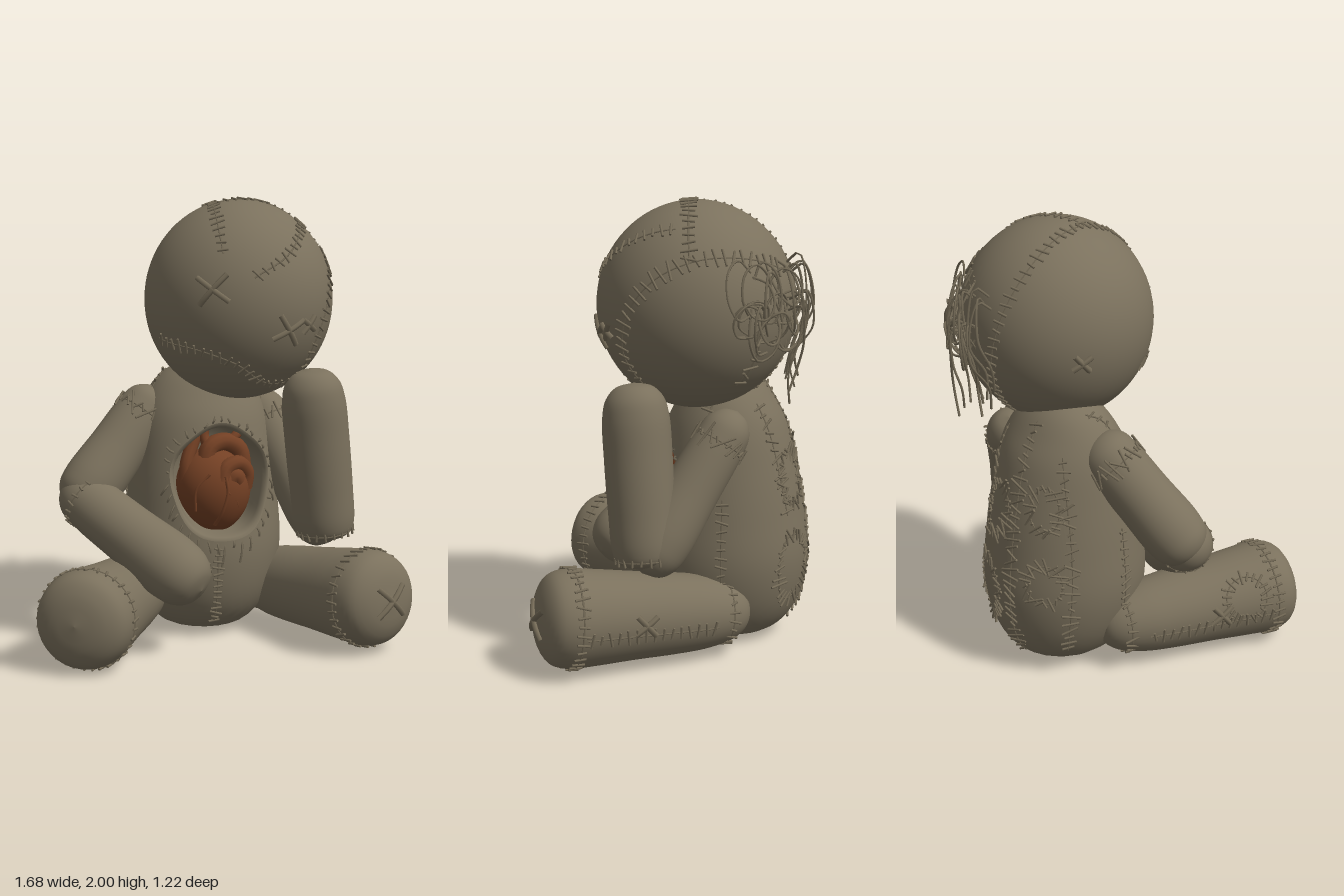
import * as THREE from 'three';
import { mergeGeometries } from 'three/addons/utils/BufferGeometryUtils.js';

const V = (x, y, z) => new THREE.Vector3(x, y, z);
const mat = (name, color) => {
  const m = new THREE.MeshStandardMaterial({ color });
  m.name = name;
  return m;
};

export function createModel() {
  const root = new THREE.Group();
  root.name = 'ragDoll';
  const cloth = mat('cloth', 0x7b715d);
  const thread = mat('thread', 0x766c58);
  const flesh = mat('heartBrown', 0x734024);

  let seed = 7;
  const rnd = () => (seed = (seed * 16807) % 2147483647) / 2147483647;
  const jit = (s) => (rnd() - 0.5) * 2 * s;
  const add = (name, geo, m) => {
    const mesh = new THREE.Mesh(geo, m);
    mesh.name = name;
    root.add(mesh);
  };
  const tube = (pts, r, n = 14, sides = 5) =>
    new THREE.TubeGeometry(new THREE.CatmullRomCurve3(pts), n, r, sides);
  // Smooth lookup through control rows [key, a, b]
  const table = (rows) => {
    const s = new THREE.CatmullRomCurve3(rows.map((r) => V(r[0], r[1], r[2] ?? 0)), false, 'centripetal').getPoints(120);
    return (k) => {
      let i = 1;
      while (i < s.length - 1 && s[i].x < k) i++;
      const f = THREE.MathUtils.clamp((k - s[i - 1].x) / (s[i].x - s[i - 1].x || 1), 0, 1);
      return s[i - 1].clone().lerp(s[i], f);
    };
  };
  // Surface from rings of points, closed around each ring
  const skin = (rings) => {
    const n = rings[0].length, idx = [];
    for (let i = 0; i < rings.length - 1; i++)
      for (let j = 0; j < n; j++) {
        const a = i * n + j, b = i * n + ((j + 1) % n);
        idx.push(a, a + n, b, b, a + n, b + n);
      }
    const g = new THREE.BufferGeometry().setFromPoints(rings.flat());
    g.setIndex(idx);
    g.computeVertexNormals();
    return g;
  };

  // Thread line with short bars across it; pn is a list of [point, normal]
  const bar = (p, dir, len, r) => {
    const g = new THREE.CylinderGeometry(r, r, len, 6);
    g.applyQuaternion(new THREE.Quaternion().setFromUnitVectors(V(0, 1, 0), dir.clone().normalize()));
    return g.translate(p.x, p.y, p.z);
  };
  const seam = (name, pn, { len = 0.055, gap = 0.04, r = 0.0055, wild = 0.3 } = {}) => {
    const c = new THREE.CatmullRomCurve3(pn.map((q) => q[0]));
    const nc = new THREE.CatmullRomCurve3(pn.map((q) => q[1]));
    const parts = [new THREE.TubeGeometry(c, pn.length * 2, 0.004, 4)];
    const count = Math.max(2, Math.round(c.getLength() / gap));
    for (let i = 0; i < count; i++) {
      const t = c.getUtoTmapping((i + 0.5) / count);
      const n = nc.getPoint(t).normalize();
      const d = n.clone().cross(c.getTangent(t)).applyAxisAngle(n, jit(wild));
      parts.push(bar(c.getPoint(t).addScaledVector(n, 0.003), d, len * (1 + jit(wild)), r));
    }
    add(name, mergeGeometries(parts), thread);
  };
  const trace = (surf, pts) =>
    new THREE.CatmullRomCurve3(pts).getPoints(24).map((p) => surf.project(p));
  const crossMark = (name, [p, n], size, turn = 0) => {
    const u = V(0, 1, 0).cross(n).normalize(), c = p.clone().addScaledVector(n, 0.004);
    // Each stroke bends down into the cloth at its ends
    add(name, mergeGeometries([0.6, 2.3].map((a) => {
      const d = u.clone().applyAxisAngle(n, a + turn);
      return tube([-1, -0.5, 0, 0.5, 1].map((k) => c.clone().addScaledVector(d, k * size).addScaledVector(n, -1.6 * (k * size) ** 2)), 0.013, 8, 6);
    })), thread);
  };

  // Torso with an open chest
  const CZ = -0.21;
  const girth = table([[0.005, 0.12, 0.14], [0.03, 0.2, 0.22], [0.09, 0.265, 0.29], [0.2, 0.325, 0.345], [0.38, 0.365, 0.372],
    [0.6, 0.355, 0.35], [0.8, 0.332, 0.315], [1.0, 0.298, 0.262], [1.1, 0.258, 0.21], [1.18, 0.195, 0.16], [1.24, 0.1, 0.1]]);
  const torso = {
    project(p) {
      const g = girth(p.y), dx = p.x / g.y, dz = (p.z - CZ) / g.z, k = 1 / Math.hypot(dx, dz);
      return [V(p.x * k, p.y, CZ + (p.z - CZ) * k), V(dx, 0, dz).normalize()];
    },
  };
  const inside = (p) => {
    if (p.y < 0.005 || p.y > 1.24) return false;
    const g = girth(p.y);
    return (p.x / g.y) ** 2 + ((p.z - CZ) / g.z) ** 2 < 1;
  };
  const C = V(0.035, 0.715, CZ), N = 72;
  const rim = Array.from({ length: N }, (_, j) => {
    const a = (j / N) * Math.PI * 2, w = 1 + 0.025 * Math.sin(a * 5);
    const x = C.x + 0.235 * w * Math.cos(a), y = C.y + 0.262 * w * Math.sin(a), g = girth(y);
    return V(x, y, CZ + g.z * Math.sqrt(1 - (x / g.y) ** 2));
  });
  const shell = Array.from({ length: 57 }, (_, i) => rim.map((q) => {
    const d = q.clone().sub(C).normalize(), t0 = Math.acos(d.z), phi = Math.atan2(d.y, d.x);
    const t = THREE.MathUtils.lerp(t0, Math.PI, i / 56);
    const dir = V(Math.sin(t) * Math.cos(phi), Math.sin(t) * Math.sin(phi), Math.cos(t));
    let lo = 0, hi = 1.2;
    for (let k = 0; k < 22; k++) {
      const mid = (lo + hi) / 2;
      if (inside(C.clone().addScaledVector(dir, mid))) lo = mid; else hi = mid;
    }
    return C.clone().addScaledVector(dir, lo);
  }));
  add('torso', skin(shell), cloth);
  add('chestCavity', skin([[0.001, 1], [0.6, 1], [0.83, 0.85], [0.88, 0.4], [0.9, 0.12], [0.94, 0.01], [1, 0]].map(([s, b]) =>
    rim.map((q) => V(C.x + (q.x - C.x) * s, C.y + (q.y - C.y) * s, THREE.MathUtils.lerp(q.z, -0.26, b))))), cloth);

  // Head
  const hc = V(0.145, 1.53, -0.085), hr = V(0.428, 0.452, 0.435);
  const head = {
    project(p) {
      const d = p.clone().sub(hc).divide(hr).normalize();
      return [d.clone().multiply(hr).add(hc), d.clone().divide(hr).normalize()];
    },
  };
  // Fills in the one missing coordinate so the point lies on the head
  const onHead = (...q) => {
    const k = q.indexOf(null), c = hc.toArray(), r = hr.toArray();
    const s = q.reduce((t, v, i) => (i === k ? t : t - ((v - c[i]) / r[i]) ** 2), 1);
    q[k] = c[k] + r[k] * Math.sqrt(Math.max(0, s));
    return V(...q);
  };
  add('head', new THREE.SphereGeometry(1, 56, 40).scale(...hr.toArray()).translate(...hc.toArray()), cloth);

  // Heart and its vessels
  const hg = new THREE.SphereGeometry(1, 36, 28), hp = hg.attributes.position;
  for (let i = 0; i < hp.count; i++) {
    const y = hp.getY(i), k = 1 + 0.1 * y - 0.06 * y * y;
    hp.setXYZ(i, hp.getX(i) * 0.17 * k + 0.012 - 0.015 * y, 0.67 + y * 0.195, hp.getZ(i) * 0.135 * k);
  }
  hg.computeVertexNormals();
  add('heart', hg, flesh);
  [['aorta', 0.042, [[-0.04, 0.78, 0.04], [-0.01, 0.87, 0.03], [0.06, 0.89, 0.01], [0.13, 0.85, 0], [0.15, 0.74, 0]]],
    ['pulmonaryArtery', 0.036, [[0.03, 0.72, 0.1], [0.05, 0.78, 0.09], [0.11, 0.8, 0.07], [0.155, 0.75, 0.04], [0.15, 0.68, 0.03]]],
    ['veinCava', 0.03, [[-0.125, 0.7, 0.03], [-0.12, 0.8, 0.03], [-0.09, 0.88, 0.01], [-0.06, 0.95, -0.01]]],
    ['upperBranchRight', 0.024, [[-0.02, 0.87, 0.03], [-0.035, 0.92, 0.01], [-0.03, 0.975, 0]]],
    ['upperBranchLeft', 0.022, [[0.07, 0.88, 0.01], [0.11, 0.91, 0], [0.14, 0.94, -0.02]]],
    ['auricle', 0.042, [[0.07, 0.73, 0.08], [0.09, 0.745, 0.08], [0.11, 0.72, 0.07]]],
    ['coronaryFront', 0.008, [[0.04, 0.75, 0.127], [0.05, 0.68, 0.13], [0.03, 0.59, 0.117], [0, 0.52, 0.082]]],
    ['coronarySide', 0.007, [[0.05, 0.68, 0.128], [0.1, 0.62, 0.1], [0.1, 0.56, 0.07]]],
    ['coronaryRight', 0.007, [[-0.03, 0.76, 0.12], [-0.09, 0.69, 0.107], [-0.09, 0.59, 0.09]]],
  ].forEach(([n, r, p]) => add(n, tube(p.map((q) => V(...q)), r, 20, 10), flesh));

  // Limbs: turned shapes between two tips
  const limb = (name, a, b, rows) => {
    const A = V(...a), B = V(...b), axis = B.clone().sub(A), L = axis.length(), rad = table(rows);
    axis.normalize();
    const prof = Array.from({ length: 49 }, (_, i) => {
      const t = (1 - Math.cos((i / 48) * Math.PI)) / 2;
      return new THREE.Vector2(i % 48 ? Math.max(rad(t).y, 0.001) : 0, t * L);
    });
    const g = new THREE.LatheGeometry(prof, 36);
    g.applyQuaternion(new THREE.Quaternion().setFromUnitVectors(V(0, 1, 0), axis)).translate(...a);
    add(name, g, cloth);
    const at = (t, toward, turn = 0) => {
      const n = toward.clone().addScaledVector(axis, -toward.dot(axis)).normalize().applyAxisAngle(axis, turn);
      return [A.clone().addScaledVector(axis, t * L).addScaledVector(n, rad(t).y), n];
    };
    return {
      at, tip: [B, axis],
      ring: (t) => Array.from({ length: 33 }, (_, i) => at(t, V(0.1, 1, 0.1), (i / 32) * Math.PI * 2)),
      line: (t0, t1, d) => Array.from({ length: 13 }, (_, i) => at(t0 + ((t1 - t0) * i) / 12, d)),
    };
  };
  const sausage = (r0, r1) => [[0, 0], [0.025, r0 * 0.5], [0.09, r0 * 0.87], [0.2, r0], [0.5, (r0 + r1) / 2],
    [0.8, r1], [0.91, r1 * 0.87], [0.975, r1 * 0.55], [1, 0]];
  const bluntRows = [[0, 0], [0.01, 0.075], [0.04, 0.12], [0.1, 0.137], [0.3, 0.144], [0.6, 0.147],
    [0.82, 0.143], [0.92, 0.122], [0.98, 0.075], [1, 0]];
  const legRows = [[0, 0], [0.02, 0.075], [0.08, 0.125], [0.2, 0.16], [0.35, 0.178], [0.55, 0.192], [0.75, 0.209],
    [0.86, 0.214], [0.935, 0.19], [0.98, 0.12], [1, 0]];
  const rightUpperArm = limb('rightUpperArm', [-0.19, 1.1, -0.24], [-0.625, 0.59, -0.07], sausage(0.13, 0.138));
  const rightForearm = limb('rightForearm', [-0.645, 0.69, -0.14], [-0.125, 0.3, 0.395], sausage(0.126, 0.146));
  const leftUpperArm = limb('leftUpperArm', [0.26, 1.08, -0.28], [0.54, 0.42, 0.1], sausage(0.115, 0.13));
  const leftForearm = limb('leftForearm', [0.52, 0.44, 0.09], [0.425, 1.23, 0.15], bluntRows);
  const rightLeg = limb('rightLeg', [-0.25, 0.19, -0.28], [-0.705, 0.225, 0.58], legRows);
  const leftLeg = limb('leftLeg', [0.25, 0.175, -0.33], [0.695, 0.245, 0.54], legRows);

  // Seams on the limbs
  [['right', rightLeg, -1], ['left', leftLeg, 1]].forEach(([s, leg, k]) => {
    seam(s + 'FootSeam', leg.ring(0.84));
    seam(s + 'HipSeam', leg.ring(0.12), { wild: 0.5 });
    seam(s + 'LegSideSeam', leg.line(0.2, 0.82, V(k, -0.1, 0)));
    crossMark(s + 'LegCross', leg.at(0.55, V(k, 0.1, 0)), 0.06);
  });
  seam('rightLegPatch', Array.from({ length: 21 }, (_, i) => {
    const a = (i / 20) * Math.PI * 2;
    return rightLeg.at(0.68 + 0.1 * Math.cos(a), V(-1, 0.35, 0), 0.5 * Math.sin(a));
  }), { gap: 0.03 });
  crossMark('leftSoleCross', leftLeg.tip, 0.1, 0.1);
  seam('rightShoulderSeam', rightUpperArm.ring(0.22), { len: 0.08, gap: 0.028, wild: 0.7 });
  seam('leftShoulderSeam', leftUpperArm.ring(0.2), { len: 0.08, gap: 0.028, wild: 0.7 });
  seam('rightElbowSeam', rightForearm.ring(0.16), { len: 0.03 });
  seam('leftElbowSeam', leftForearm.ring(0.05), { len: 0.035 });
  seam('rightHandSeam', rightForearm.line(0.7, 0.97, V(1, 0.2, -0.2)), { len: 0.03 });

  // Seams on the head
  const H = (name, pts, o) => seam(name, trace(head, pts), o);
  H('crownSeam', [onHead(0, 1.75, null), onHead(0, null, 0.12), onHead(0.02, null, -0.1), onHead(0.04, null, -0.38),
    V(0.08, 1.68, -0.5), V(0.15, 1.4, -0.52), V(0.18, 1.15, -0.35)]);
  H('crownCrossSeam', [onHead(0.02, null, -0.04), onHead(0.3, null, -0.07), onHead(0.47, null, -0.09), onHead(null, 1.75, -0.1)], { len: 0.065 });
  H('browSeam', [onHead(0.12, 1.65, null), onHead(0.28, 1.74, null), onHead(0.41, 1.88, null)]);
  H('mouthSeam', [onHead(-0.24, 1.37, null), onHead(-0.1, 1.33, null), onHead(0.06, 1.27, null), onHead(0.2, 1.18, null), onHead(0.33, 1.17, null)]);
  H('cheekSeam', [onHead(null, 1.2, 0.1), onHead(null, 1.35, 0.19), onHead(null, 1.52, 0.17), onHead(null, 1.68, 0.05),
    onHead(null, 1.76, -0.12), onHead(null, 1.77, -0.28), V(0.3, 1.72, -0.48)], { len: 0.07 });
  H('napeSeam', [V(0.5, 1.6, -0.38), V(0.45, 1.4, -0.4), V(0.4, 1.2, -0.3)], { wild: 0.6 });
  crossMark('rightEye', head.project(onHead(-0.055, 1.6, null)), 0.09, 0.25);
  crossMark('leftEye', head.project(onHead(0.28, 1.42, null)), 0.085, -0.1);
  crossMark('leftEyeTail', head.project(onHead(0.38, 1.44, null)), 0.05, 0.3);
  crossMark('rightBackCross', head.project(V(-0.2, 1.47, -0.32)), 0.05);

  // Seams and patches on the torso
  const T = (name, pts, o) => seam(name, trace(torso, pts), o);
  T('bellySeam', [V(0, 0.44, 1), V(0, 0.25, 1), V(0, 0.06, 1)], { len: 0.045, gap: 0.03 });
  T('spineSeam', [V(0, 1.17, -1), V(0.01, 0.7, -1), V(0, 0.07, -1)], { len: 0.07, gap: 0.035, wild: 0.6 });
  for (const s of [-1, 1]) {
    T('flankSeam', [V(s, 0.7, -0.25), V(s, 0.45, -0.24), V(s, 0.15, -0.24)], { len: 0.05 });
    T('shoulderTopSeam', [V(s * 0.3, 1.06, -0.15), V(s * 0.2, 1.17, -0.2), V(s * 0.15, 1.2, -0.25)], { wild: 0.6 });
  }
  T('rightBackSeam', [V(-0.24, 1.05, -0.5), V(-0.3, 0.6, -0.5), V(-0.27, 0.12, -0.5)], { wild: 0.6 });
  T('leftBackSeam', [V(0.24, 1.1, -0.4), V(0.26, 0.9, -0.5), V(0.2, 0.6, -0.5)], { wild: 0.6 });
  [[-0.16, 0.82, 0.09, 0.1], [-0.17, 0.48, 0.1, 0.09], [0.2, 0.36, 0.13, 0.15], [0.15, 0.76, 0.1, 0.12]].forEach(([x, y, w, h]) =>
    T('backPatch', Array.from({ length: 17 }, (_, i) => {
      const a = (i / 16) * Math.PI * 2;
      return V(x + w * Math.cos(a), y + h * Math.sin(a), CZ - 0.33);
    }), { gap: 0.027, wild: 0.8 }));

  // Frayed threads around the opening, hanging longer below it
  const fray = rim.filter((_, j) => j % 2 === 0).map((q) => {
    const o = q.clone().sub(C).setZ(0).normalize(), e = q.clone().addScaledVector(o, 0.015 + rnd() * 0.035);
    const hang = o.y < 0.1 ? 0.08 * rnd() : 0;
    const [p, n] = torso.project(e.add(V(jit(0.03), -hang, 0)));
    return tube([q.clone().add(V(0, 0, -0.01)), q.clone().lerp(p, 0.5).addScaledVector(n, 0.01), p.addScaledVector(n, 0.003)], 0.005, 5, 4);
  });
  add('chestFray', mergeGeometries(fray), thread);

  // Loose thread tangle: round loops near the head and long hanging strands
  const strands = Array.from({ length: 30 }, (_, i) => {
    if (i % 3) {
      const [p, n] = head.project(V(0.42 + jit(0.14), 1.56 + jit(0.1), -0.4 + jit(0.1)));
      const side = n.clone().cross(V(0, 1, 0)).normalize(), up = side.clone().cross(n);
      const w = 0.05 + rnd() * 0.05, h = 0.07 + rnd() * 0.09, a0 = rnd() * 6.3, lift = 0.015 + rnd() * 0.06;
      return tube([0, 1, 2, 3, 4, 5].map((k) => {
        const a = a0 + k * 0.95;
        return head.project(p.clone().addScaledVector(side, w * Math.cos(a)).addScaledVector(up, h * Math.sin(a)))[0]
          .addScaledVector(n, lift * Math.sin((k / 5) * Math.PI));
      }), 0.0055, 20, 4);
    }
    const [p, n] = head.project(V(0.3 + jit(0.16), 1.62 + jit(0.12), -0.5));
    const d = 0.3 + rnd() * 0.18, w = jit(0.08);
    return tube([p, p.clone().addScaledVector(n, 0.06).add(V(w * 0.5, 0.02, 0)), p.clone().add(V(w, -d * 0.35, -0.07 + jit(0.03))),
      p.clone().add(V(w + jit(0.04), -d * 0.7, -0.03 + jit(0.03))), p.clone().add(V(w, -d, jit(0.03)))], 0.0055, 20, 4);
  });
  add('looseThreads', mergeGeometries(strands), thread);
  return root;
}
